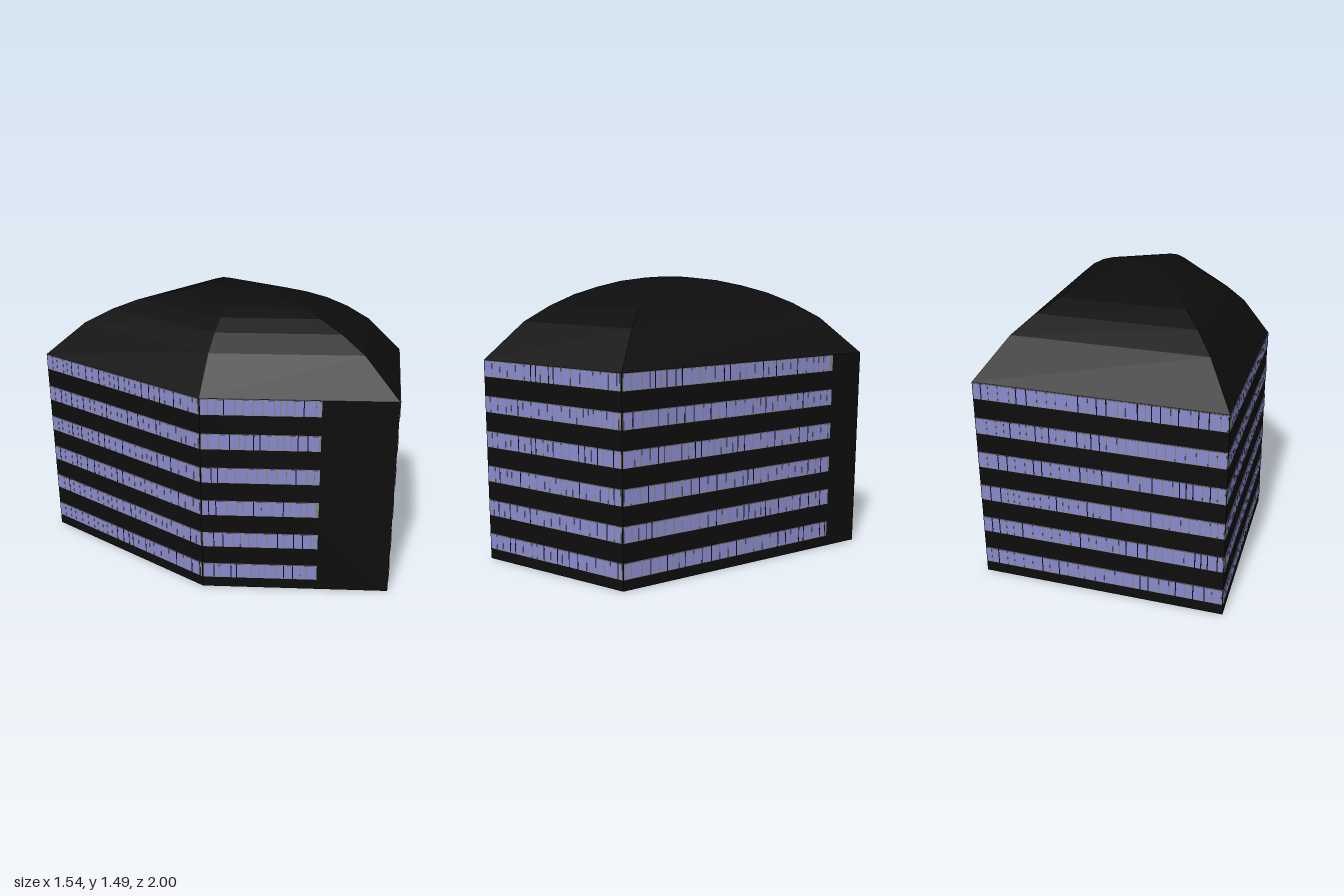
import * as THREE from 'three';
import { mergeGeometries } from 'three/addons/utils/BufferGeometryUtils.js';

// Five-sided footprint as [x, z], clockwise seen from above
const PLAN = [[-0.77, -0.85], [0.5, -1], [0.765, 0.47], [0.08, 1], [-0.6, 0.28]];
// Share of each wall covered by windows, measured from its left end seen from outside
const COVER = [1, 0.87, 1, 0.62, 1];
const WALL_TOP = 1.085;
const FLOORS = 6, FLOOR_PITCH = 0.188, FIRST_BAND = 0.101, BAND_HEIGHT = 0.086;

const black = new THREE.MeshStandardMaterial({ color: 0x0d0d0d, flatShading: true });
const glass = new THREE.MeshStandardMaterial({ color: 0x8a8acc });
const trim = new THREE.MeshStandardMaterial({ color: 0x85857a });

let seed = 7;
function random() {
  seed = (seed * 16807) % 2147483647;
  return seed / 2147483647;
}

function named(name, geometry, material) {
  const mesh = new THREE.Mesh(geometry, material);
  mesh.name = name;
  return mesh;
}

function wallsGeometry() {
  const shape = new THREE.Shape(PLAN.map(([x, z]) => new THREE.Vector2(x, -z)));
  return new THREE.ExtrudeGeometry(shape, { depth: WALL_TOP, bevelEnabled: false }).rotateX(-Math.PI / 2);
}

// Domed roof: the footprint shrinks ring by ring towards the crown
function roofGeometry() {
  const rings = [[1, WALL_TOP], [0.79, 1.275], [0.65, 1.355], [0.52, 1.41],
    [0.39, 1.448], [0.26, 1.476], [0.13, 1.49], [0, 1.49]];
  const point = ([s, y], i) => {
    const [x, z] = PLAN[i % PLAN.length];
    return [x * s, y, z * s - 0.04 * (1 - s)];
  };
  const positions = [];
  for (let k = 0; k < rings.length - 1; k++) {
    for (let i = 0; i < PLAN.length; i++) {
      const a = point(rings[k], i), b = point(rings[k], i + 1);
      const c = point(rings[k + 1], i), d = point(rings[k + 1], i + 1);
      positions.push(...b, ...a, ...c);
      if (rings[k + 1][0] > 0) positions.push(...b, ...c, ...d);
    }
  }
  const geometry = new THREE.BufferGeometry();
  geometry.setAttribute('position', new THREE.Float32BufferAttribute(positions, 3));
  geometry.computeVertexNormals();
  return geometry;
}

// Window bands of one wall, laid out along local x with local z outward
function facade(length) {
  const frames = [], panes = [], posts = [];
  const slab = (list, x0, x1, y, h, depth) =>
    list.push(new THREE.BoxGeometry(x1 - x0, h, depth).translate((x0 + x1) / 2, y, 0));

  for (let f = 0; f < FLOORS; f++) {
    const y = FIRST_BAND + f * FLOOR_PITCH;
    slab(frames, 0.004, length - 0.004, y, BAND_HEIGHT, 0.004);
    let x = 0.008;
    while (x < length - 0.02) {
      const end = Math.min(x + 0.025 + 0.03 * random(), length - 0.008);
      slab(panes, x, end, y, BAND_HEIGHT - 0.006, 0.007);
      // Now and then a dark post stands between two panes
      if (random() < 0.3 && end < length - 0.02) {
        slab(posts, end, end + 0.005, y, BAND_HEIGHT - 0.003, 0.008);
      }
      x = end + 0.005;
    }
  }
  const group = new THREE.Group();
  group.add(
    named('windowFrames', mergeGeometries(frames), trim),
    named('windowPanes', mergeGeometries(panes), glass),
    named('windowPosts', mergeGeometries(posts), black)
  );
  return group;
}

export function createModel() {
  const model = new THREE.Group();
  model.name = 'officeBuilding';
  model.add(named('walls', wallsGeometry(), black), named('domedRoof', roofGeometry(), black));

  PLAN.forEach(([px, pz], i) => {
    const [qx, qz] = PLAN[(i + 1) % PLAN.length];
    const wall = facade(Math.hypot(px - qx, pz - qz) * COVER[i]);
    wall.name = 'windowWall' + (i + 1);
    wall.position.set(qx, 0, qz);
    wall.rotation.y = Math.atan2(qz - pz, px - qx);
    model.add(wall);
  });
  return model;
}
